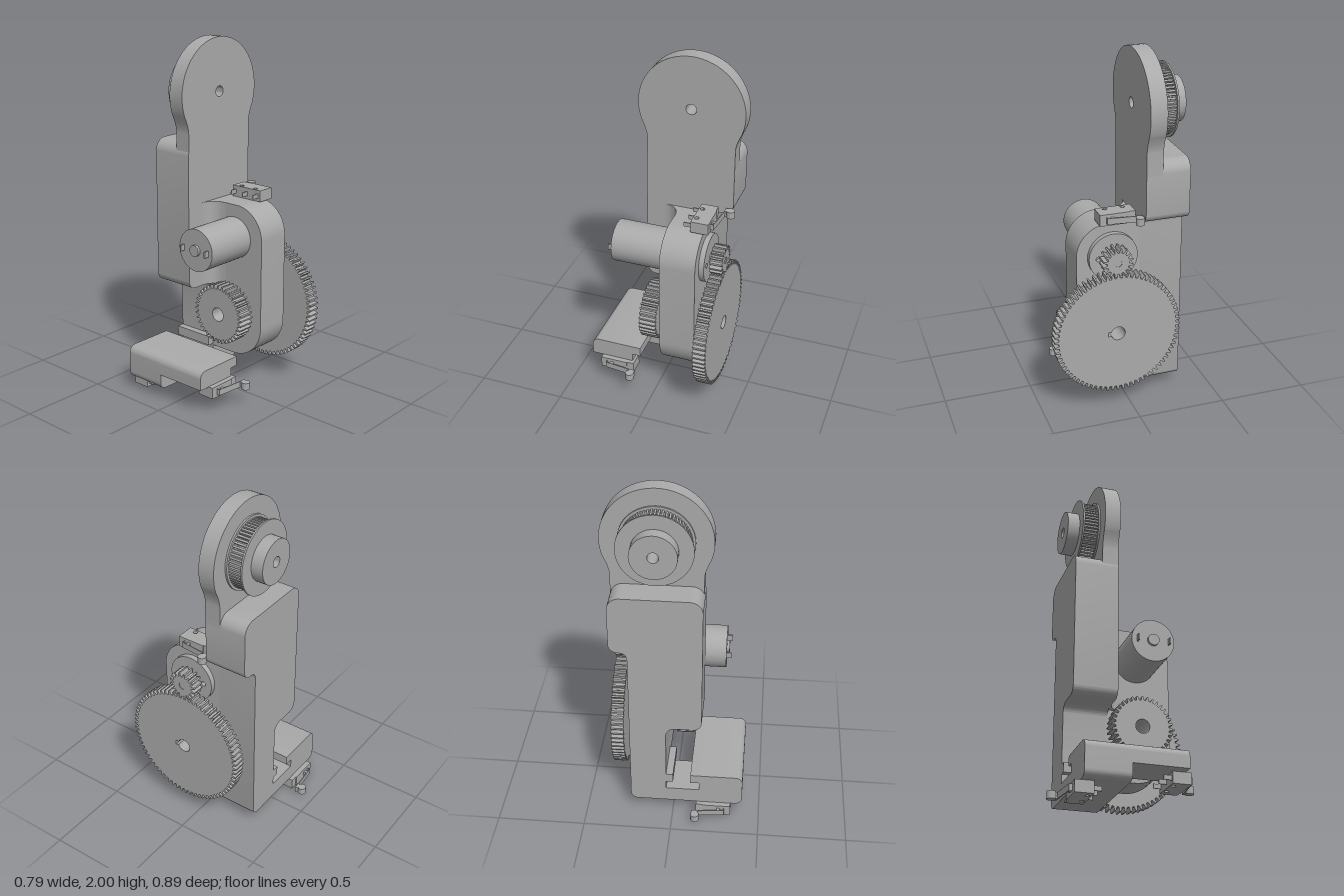
import * as THREE from 'three';
import { toCreasedNormals } from 'three/addons/utils/BufferGeometryUtils.js';

const grey = new THREE.MeshStandardMaterial({ color: 0xaaaaaa });
grey.name = 'machined grey';

// Axis of the gear shaft, the motor and the pulley
const SHAFT = { y: 0.475, z: 0.08 };
const MOTOR = { y: 0.9, z: 0.08 };
const PULLEY = { x: 0.095, y: 1.7 };

function add(parent, name, geo, x = 0, y = 0, z = 0) {
  const mesh = new THREE.Mesh(geo, grey);
  mesh.name = name;
  mesh.position.set(x, y, z);
  parent.add(mesh);
  return mesh;
}

function extrude(shape, depth) {
  const geo = new THREE.ExtrudeGeometry(shape, { depth, bevelEnabled: false, curveSegments: 20 });
  return toCreasedNormals(geo, 0.5);
}
// Extrusion running along +x; shape x becomes -z
const extrudeX = (shape, depth) => extrude(shape, depth).rotateY(Math.PI / 2);

// Closed outline of [x, y, cornerRadius] points
function rounded(points) {
  const shape = new THREE.Shape();
  const n = points.length;
  points.forEach(([x, y, r = 0], i) => {
    const toward = ([px, py], d) => {
      const l = Math.hypot(px - x, py - y);
      return [x + (px - x) * d / l, y + (py - y) * d / l];
    };
    const prev = points[(i + n - 1) % n], next = points[(i + 1) % n];
    const a = r ? toward(prev, r) : [x, y];
    if (i === 0) shape.moveTo(...a); else shape.lineTo(...a);
    if (r) shape.bezierCurveTo(...toward(prev, r * 0.448), ...toward(next, r * 0.448), ...toward(next, r));
  });
  shape.closePath();
  return shape;
}

function circleHole(r, x = 0, y = 0) {
  return new THREE.Path().absarc(x, y, r, 0, Math.PI * 2, true);
}

function ringShape(r, hole) {
  const shape = new THREE.Shape().absarc(0, 0, r, 0, Math.PI * 2, false);
  if (hole) shape.holes.push(circleHole(hole));
  return shape;
}

// Toothed outline with trapezoid teeth; phase is in tooth pitches
function gearShape(teeth, outer, root, hole, phase = 0, tip = 0.14, base = 0.3) {
  const pts = [];
  for (let i = 0; i < teeth; i++) {
    for (const [r, o] of [[root, -base], [outer, -tip], [outer, tip], [root, base]]) {
      const a = (i + o + phase) / teeth * Math.PI * 2;
      pts.push(new THREE.Vector2(Math.cos(a) * r, Math.sin(a) * r));
    }
  }
  const shape = new THREE.Shape(pts);
  if (hole) shape.holes.push(hole);
  return shape;
}

// Lever switch: length along x, lever side toward -z, standing on y = 0
function limitSwitch(name) {
  const g = new THREE.Group();
  g.name = name;
  const body = rounded([[0, 0], [0.2, 0], [0.2, 0.095], [0.16, 0.095], [0.16, 0.1], [0, 0.1]]);
  body.holes.push(circleHole(0.013, 0.05, 0.02), circleHole(0.013, 0.15, 0.02));
  add(g, 'switchBody', extrude(body, 0.065).rotateX(-Math.PI / 2));
  add(g, 'switchButton', new THREE.BoxGeometry(0.018, 0.03, 0.025), 0.068, 0.0325, -0.108);
  // Bent strip ending in a hooked roller
  const lever = rounded([[0.035, 0.09], [0.039, 0.09], [0.039, 0.115], [0.225, 0.133],
    [0.222, 0.155], [0.19, 0.155], [0.19, 0.135], [0.035, 0.119]]);
  add(g, 'switchLever', extrude(lever, 0.035).rotateX(-Math.PI / 2), 0, 0.015, 0);
  add(g, 'switchRoller', new THREE.CylinderGeometry(0.024, 0.024, 0.04, 24), 0.202, 0.0325, -0.165);
  for (const x of [0.018, 0.095, 0.178]) {
    add(g, 'switchPin', new THREE.BoxGeometry(0.006, 0.025, 0.045), x, 0.0325, 0.02);
  }
  return g;
}

function buildFrame(model) {
  const g = new THREE.Group();
  g.name = 'frame';
  model.add(g);

  // Rear block with slotted foot
  const block = rounded([[0.245, 0.07, 0.04], [0.245, 1.1, 0.04], [0.345, 1.1, 0.05], [0.345, 1.44, 0.07],
    [-0.16, 1.44, 0.07], [-0.16, 0.6, 0.05], [0.04, 0.6, 0.05], [0.04, 0.265], [0, 0.265], [0, 0.21],
    [0.04, 0.21], [0.04, 0.16], [-0.15, 0.16], [-0.15, 0.21], [-0.1, 0.21], [-0.1, 0.265],
    [-0.4, 0.265, 0.04], [-0.4, 0.07, 0.04]]);
  add(g, 'rearBlock', extrude(block, 0.247), 0, 0, -0.325);

  // Forward part of the foot
  const foot = rounded([[-0.4, 0.16], [-0.15, 0.16], [-0.15, 0.21], [-0.1, 0.21], [-0.1, 0.265], [-0.4, 0.265, 0.04]]);
  add(g, 'foot', extrude(foot, 0.305), 0, 0, -0.08);

  // Upper plate with round head
  const a = -0.35, R = 0.3, w = 0.25;
  const plate = new THREE.Shape();
  plate.moveTo(-w, -0.4);
  plate.lineTo(w, -0.4);
  plate.lineTo(w, -0.21);
  plate.quadraticCurveTo(w, -0.165, R * Math.cos(a), R * Math.sin(a));
  plate.absarc(0, 0, R, a, Math.PI - a, false);
  plate.quadraticCurveTo(-w, -0.165, -w, -0.21);
  plate.closePath();
  plate.holes.push(circleHole(0.03));
  add(g, 'headPlate', extrude(plate, 0.092), PULLEY.x, PULLEY.y, -0.17);

  // Gearbox wall standing forward, profile seen from the side
  const wall = rounded([[-0.28, 0.2, 0.2], [0.09, 0.2], [0.09, 1.09], [-0.28, 1.09, 0.18]]);
  wall.holes.push(circleHole(0.05, -SHAFT.z, SHAFT.y));
  add(g, 'gearboxWall', extrudeX(wall, 0.205), 0.04, 0, 0);

  // Concave blend between wall and block
  const blend = new THREE.Shape();
  blend.moveTo(0.05, 0.1);
  blend.lineTo(-0.06, 0.1);
  blend.lineTo(-0.06, 0.078);
  blend.quadraticCurveTo(0.04, 0.078, 0.04, -0.03);
  blend.lineTo(0.05, -0.03);
  blend.closePath();
  add(g, 'wallBlend', extrude(blend, 0.49).rotateX(-Math.PI / 2), 0, 0.6, 0);
}

function buildMotor(model) {
  const g = new THREE.Group();
  g.name = 'motor';
  g.position.set(0, MOTOR.y, MOTOR.z);
  model.add(g);
  // Can, end boss and shaft collar: [name, radius, start, end]
  for (const [name, r, x0, x1] of [['motorCan', 0.12, -0.275, 0.05], ['motorEndBoss', 0.032, -0.29, -0.27],
    ['shaftCollar', 0.04, 0.27, 0.29], ['motorShaft', 0.02, 0.27, 0.355]]) {
    const geo = new THREE.CylinderGeometry(r, r, x1 - x0, 48).rotateZ(Math.PI / 2);
    add(g, name, geo, (x0 + x1) / 2, 0, 0);
  }
  const flange = ringShape(0.138);
  for (const s of [-1, 1]) {
    flange.holes.push(circleHole(0.014, s * 0.085, 0));
    add(g, 'motorTerminal', new THREE.BoxGeometry(0.03, 0.035, 0.008), -0.288, 0, s * 0.088);
  }
  add(g, 'motorFlange', extrudeX(flange, 0.035), 0.24, 0, 0);
  add(g, 'pinion', extrudeX(gearShape(16, 0.085, 0.062, circleHole(0.02), 0.5), 0.072), 0.287, 0, 0);
}

function buildGears(model) {
  const g = new THREE.Group();
  g.name = 'gearShaft';
  g.position.set(0, SHAFT.y, SHAFT.z);
  model.add(g);
  // Bore with a small keyway toward the front
  const key = 0.25;
  const bore = new THREE.Path();
  bore.absarc(0, 0, 0.04, Math.PI - key, -Math.PI + key, true);
  bore.lineTo(-0.057, -0.014);
  bore.lineTo(-0.057, 0.014);
  bore.closePath();
  add(g, 'largeGear', extrudeX(gearShape(72, 0.362, 0.338, bore), 0.072), 0.287, 0, 0);
  add(g, 'smallGear', extrudeX(gearShape(36, 0.172, 0.15, circleHole(0.04)), 0.098), -0.097, 0, 0);
  add(g, 'shaftTube', extrudeX(ringShape(0.058, 0.04), 0.29), -0.002, 0, 0);
}

function buildPulley(model) {
  const g = new THREE.Group();
  g.name = 'beltPulley';
  g.position.set(PULLEY.x, PULLEY.y, 0);
  model.add(g);
  const bore = 0.03;
  add(g, 'innerFlange', extrude(ringShape(0.204, bore), 0.01), 0, 0, -0.18);
  add(g, 'pulleyTeeth', extrude(gearShape(60, 0.19, 0.175, circleHole(bore), 0, 0.28, 0.34), 0.084), 0, 0, -0.263);
  add(g, 'outerFlange', extrude(ringShape(0.204, bore), 0.01), 0, 0, -0.272);
  add(g, 'pulleyHub', extrude(ringShape(0.125, bore), 0.07), 0, 0, -0.341);
}

export function createModel() {
  const model = new THREE.Group();
  model.name = 'gearedArm';
  buildFrame(model);
  buildMotor(model);
  buildGears(model);
  buildPulley(model);

  // Limit switches: top of wall, under the foot at the front and at the rear
  const top = limitSwitch('topSwitch');
  top.position.set(0.175, 1.09, 0.155);
  top.rotation.y = Math.PI / 2;
  top.scale.z = -1;
  top.rotation.set(0, Math.PI / 2, 0);
  const rear = limitSwitch('rearSwitch');
  rear.position.set(-0.335, 0.005, -0.255);
  const front = limitSwitch('frontSwitch');
  front.position.set(-0.335, 0.097, 0.155);
  front.scale.z = -1;
  model.add(top, rear, front);
  return model;
}
